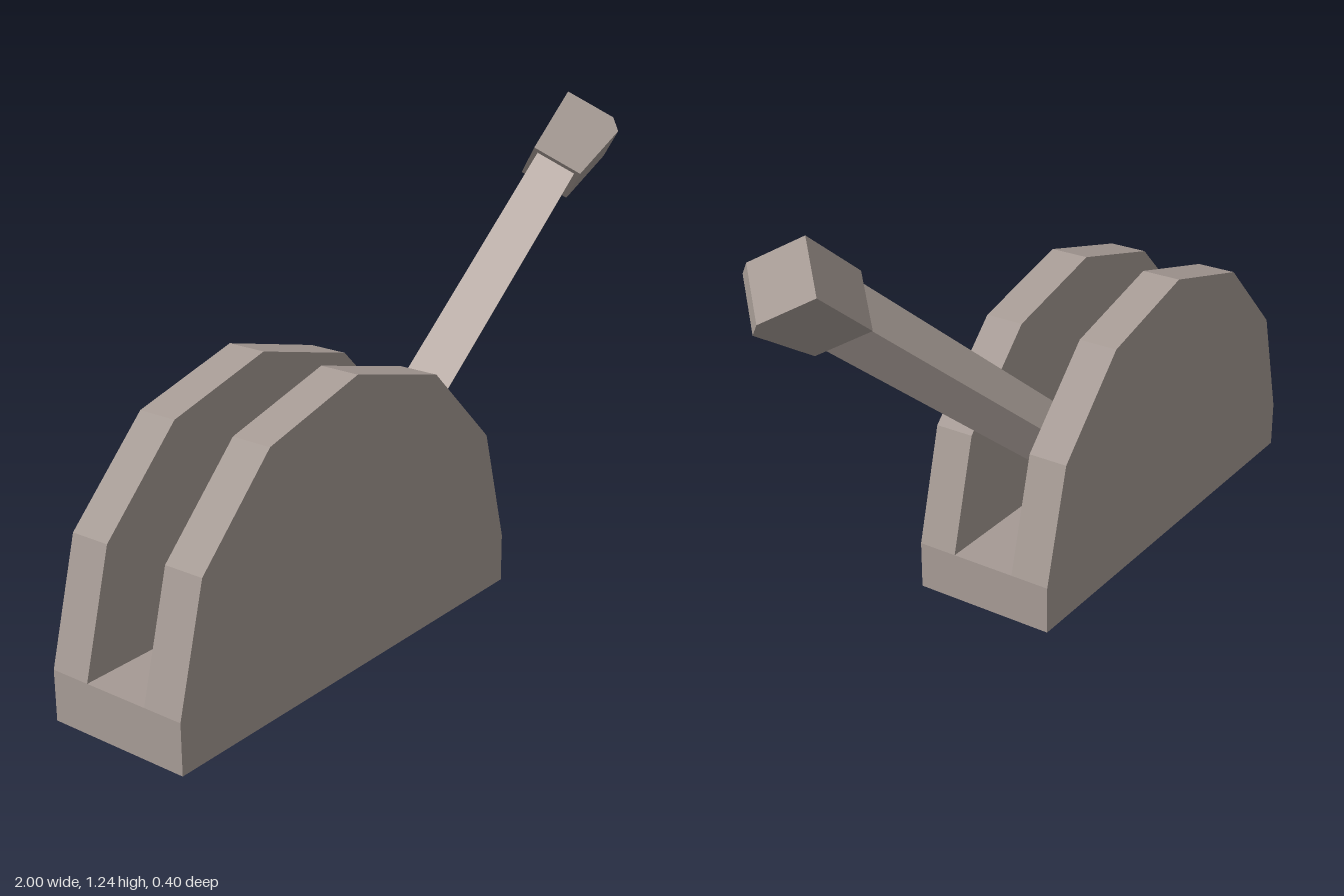
import * as THREE from 'three';

const bodyMaterial = new THREE.MeshStandardMaterial({ color: 0xa59a94, flatShading: true });
const barMaterial = new THREE.MeshStandardMaterial({ color: 0xc7bab3, flatShading: true });

function part(name, geometry, material, parent) {
  const mesh = new THREE.Mesh(geometry, material);
  mesh.name = name;
  parent.add(mesh);
  return mesh;
}

function extrude(points, depth) {
  const shape = new THREE.Shape(points.map(([x, y]) => new THREE.Vector2(x, y)));
  return new THREE.ExtrudeGeometry(shape, { depth, bevelEnabled: false }).translate(0, 0, -depth / 2);
}

export function createModel() {
  const model = new THREE.Group();
  model.name = 'lever';

  // Solid foot under the slot
  const centreX = -0.371, radius = 0.629, footHeight = 0.132;
  const foot = part('foot', new THREE.BoxGeometry(radius * 2, footHeight, 0.4), bodyMaterial, model);
  foot.position.set(centreX, footHeight / 2, 0);

  // Two half-round side plates with six facets each
  const arc = [];
  for (let i = 0; i <= 6; i++) {
    const a = (i / 6) * Math.PI;
    arc.push([Math.cos(a) * radius, Math.sin(a) * radius]);
  }
  for (const [name, side] of [['frontPlate', 1], ['backPlate', -1]]) {
    const plate = part(name, extrude(arc, 0.11), bodyMaterial, model);
    plate.position.set(centreX, footHeight, side * 0.145);
  }

  // Handle: local x runs along the bar, origin where the grip begins
  const handle = new THREE.Group();
  handle.name = 'handle';
  handle.position.set(0.762, 1.021, 0.008);
  handle.rotation.set(-0.94, -0.004, 0.669, 'ZYX');
  model.add(handle);

  const length = 1.5;
  part('bar', new THREE.BoxGeometry(length, 0.118, 0.118), barMaterial, handle).position.x = -length / 2;

  // Grip with a lip swelling out on one side
  const h = 0.074;
  const gripProfile = [[0, h], [0, -h], [0.185, -0.106], [0.217, -h], [0.217, h]];
  part('grip', extrude(gripProfile, h * 2), bodyMaterial, handle);

  return model;
}
